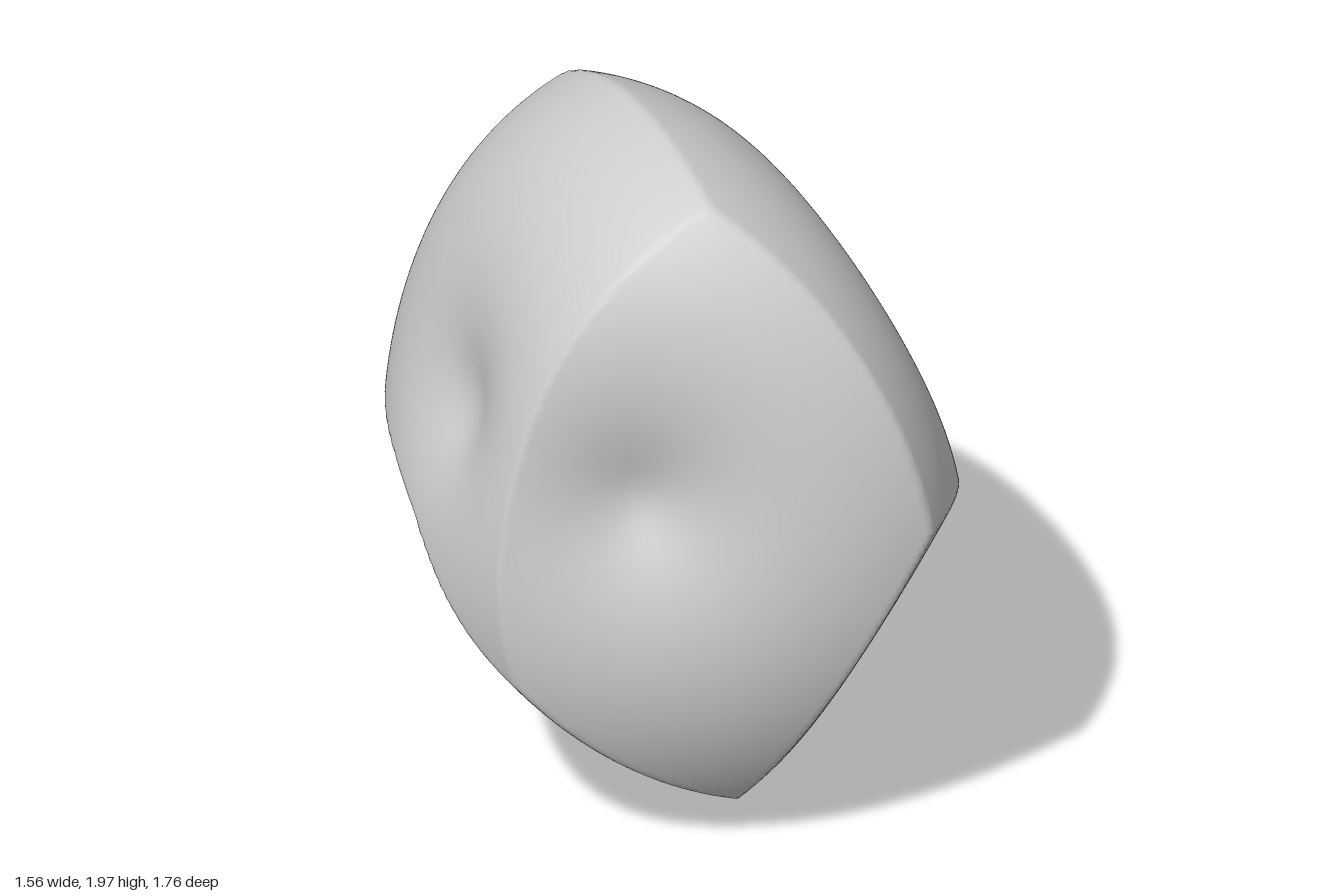
import * as THREE from 'three';
import { mergeVertices } from 'three/addons/utils/BufferGeometryUtils.js';

const CENTRE = new THREE.Vector3(0, 1.03, -0.06);
const CORE = 0.5; // radius at the floor of the deepest dimples
const SOFTNESS = 0.006; // rounds the floor of the dimples

// points on the ridges: corners where three faces meet, then points between them
const ridge = {
  front: [0.07, 0.97, 0.87],
  lowRight: [0.6, 0.17, -0.12],
  lowFront: [-0.2, 0.3, 0.65],
  topFront: [-0.2, 1.9, 0.38],
  topBack: [0.15, 1.86, -0.62],
  side: [-0.72, 0.48, 0.08],
  back: [-0.31, 0.85, -0.82],
  lowSide: [-0.38, 0.28, 0.48],
  lowBack: [0.36, 0.25, -0.5],

  frontA: [0.03, 1.42, 0.79],
  frontB: [-0.08, 1.68, 0.63],
  chin: [-0.09, 0.59, 0.75],
  cheekA: [0.35, 0.93, 0.68],
  cheekB: [0.64, 0.74, 0.4],
  cheekC: [0.73, 0.42, 0.13],
  rightA: [0.45, 1.5, -0.6],
  rightB: [0.68, 1.02, -0.48],
  rightC: [0.76, 0.62, -0.35],
  top: [0, 1.99, -0.1],
  leftA: [-0.6, 1.5, 0.14],
  leftB: [-0.76, 0.85, 0.1],
  backA: [-0.05, 1.45, -0.81],
  backB: [-0.2, 1.1, -0.86],
  backLow: [0.08, 0.52, -0.7],
  backSide: [-0.6, 0.77, -0.4],
  sideLow: [-0.56, 0.37, 0.3],
  footA: [-0.05, 0.11, 0.35],
  foot: [0.11, -0.03, 0.07],
  footB: [0.38, 0.07, 0],
  heelA: [0.02, 0.02, 0],
  heelB: [0.5, 0.2, -0.33],
};

// faces: the bottom of the dimple, then the ridge points around it
const faces = [
  [[-0.42, 1.2, 0.38],
    'front frontA frontB topFront leftA leftB side sideLow lowSide lowFront chin'],
  [[0.48, 1.28, -0.01],
    'front frontA frontB topFront top topBack rightA rightB rightC lowRight cheekC cheekB cheekA'],
  [[-0.48, 1.14, -0.32],
    'topFront top topBack backA backB back backSide side leftB leftA'],
  [[0.19, 0.93, -0.51],
    'topBack rightA rightB rightC lowRight heelB lowBack backLow back backB backA'],
  [[0.38, 0.52, 0.36],
    'front cheekA cheekB cheekC lowRight footB foot footA lowFront chin'],
  [[-0.26, 0.64, -0.41],
    'side sideLow lowSide footA foot heelA heelB lowBack backLow back backSide'],
];

// squared height above the core is linear in the direction, so each face is
// a round hollow cone; its four numbers are a weighted best fit of its points
function fitFace([dimple, names]) {
  const sums = new Array(16).fill(0);
  const right = [0, 0, 0, 0];
  const add = (point, weight) => {
    const p = new THREE.Vector3(...point).sub(CENTRE);
    const height = Math.max(p.length() - CORE, 0);
    const row = [1, ...p.normalize().toArray()];
    row.forEach((a, i) => {
      right[i] += weight * a * height * height;
      row.forEach((b, j) => { sums[i * 4 + j] += weight * a * b; });
    });
  };
  add(dimple, 10);
  names.split(' ').forEach((name) => add(ridge[name], 1));
  return new THREE.Vector4(...right).applyMatrix4(new THREE.Matrix4().fromArray(sums).invert());
}

export function createModel() {
  const cones = faces.map(fitFace);

  // a fine ball whose radius follows the lowest cone in every direction
  const ball = new THREE.IcosahedronGeometry(1, 70);
  ball.deleteAttribute('normal');
  ball.deleteAttribute('uv');
  const geometry = mergeVertices(ball, 1e-4);
  const position = geometry.attributes.position;
  const dir = new THREE.Vector3();
  for (let i = 0; i < position.count; i++) {
    dir.fromBufferAttribute(position, i).normalize();
    const square = Math.min(...cones.map(
      (c) => c.x + c.y * dir.x + c.z * dir.y + c.w * dir.z));
    const height = Math.sqrt((square + Math.hypot(square, SOFTNESS)) / 2);
    dir.multiplyScalar(CORE + height).add(CENTRE);
    position.setXYZ(i, dir.x, dir.y, dir.z);
  }
  geometry.computeVertexNormals();

  const stone = new THREE.Mesh(geometry, new THREE.MeshStandardMaterial({ color: 0xcccccc }));
  stone.name = 'dimpledStone';
  const group = new THREE.Group();
  group.name = 'stone';
  group.add(stone);
  return group;
}
